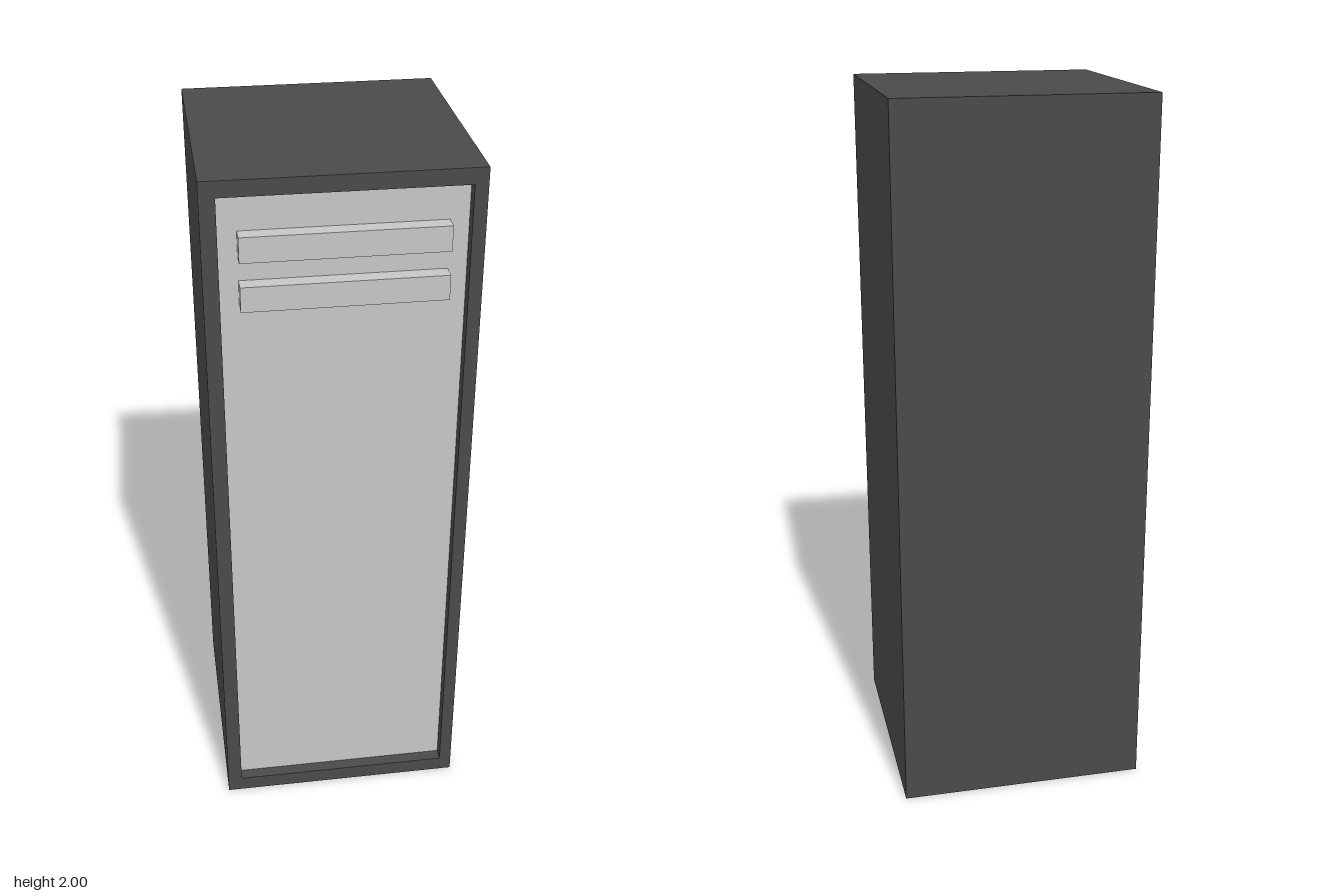
import * as THREE from 'three';

const casingMat = new THREE.MeshStandardMaterial({ color: 0x4a4a4a, side: THREE.DoubleSide });
casingMat.name = 'dark casing';
const panelMat = new THREE.MeshStandardMaterial({ color: 0xc6c6c6 });
panelMat.name = 'light grey';

// Extents of the casing and of its front opening
const outer = { x0: -0.352, x1: 0.351, y0: 0, y1: 2 };
const inner = { x0: -0.311, x1: 0.316, y0: 0.045, y1: 1.957 };
const back = -0.356, front = 0.347, recess = 0.313, gripFront = 0.355;

// Box between two corners
function boxBetween(r, z0, z1) {
  const g = new THREE.BoxGeometry(r.x1 - r.x0, r.y1 - r.y0, z1 - z0);
  return g.translate((r.x0 + r.x1) / 2, (r.y0 + r.y1) / 2, (z0 + z1) / 2);
}

// Same box without its +z face (the fifth of six quads)
function openBox(r, z0, z1) {
  const g = boxBetween(r, z0, z1);
  const index = Array.from(g.index.array);
  index.splice(24, 6);
  g.setIndex(index);
  g.clearGroups();
  return g;
}

function trace(path, r) {
  path.moveTo(r.x0, r.y0);
  path.lineTo(r.x1, r.y0);
  path.lineTo(r.x1, r.y1);
  path.lineTo(r.x0, r.y1);
  path.closePath();
  return path;
}

export function createModel() {
  const group = new THREE.Group();
  group.name = 'cabinet';
  const add = (name, geometry, material) => {
    const mesh = new THREE.Mesh(geometry, material);
    mesh.name = name;
    group.add(mesh);
  };

  // Casing: outer shell and front rim
  add('casing', openBox(outer, back, front), casingMat);
  const rim = trace(new THREE.Shape(), outer);
  rim.holes.push(trace(new THREE.Path(), inner));
  add('frontRim', new THREE.ShapeGeometry(rim).translate(0, 0, front), casingMat);

  // Recess walls, with normals turned inwards
  const walls = openBox(inner, recess - 0.005, front);
  const normals = walls.attributes.normal;
  for (let i = 0; i < normals.array.length; i++) normals.array[i] *= -1;
  walls.setIndex(Array.from(walls.index.array).reverse());
  add('recessWalls', walls, casingMat);

  // Door panel at the back of the recess
  const door = new THREE.PlaneGeometry(inner.x1 - inner.x0, inner.y1 - inner.y0);
  door.translate((inner.x0 + inner.x1) / 2, (inner.y0 + inner.y1) / 2, recess);
  add('doorPanel', door, panelMat);

  // Two horizontal bars near the top
  [1.823, 1.691].forEach((y, i) => {
    const r = { x0: -0.261, x1: 0.267, y0: y - 0.034, y1: y + 0.034 };
    add(i ? 'lowerBar' : 'upperBar', boxBetween(r, recess, gripFront), panelMat);
  });

  return group;
}
